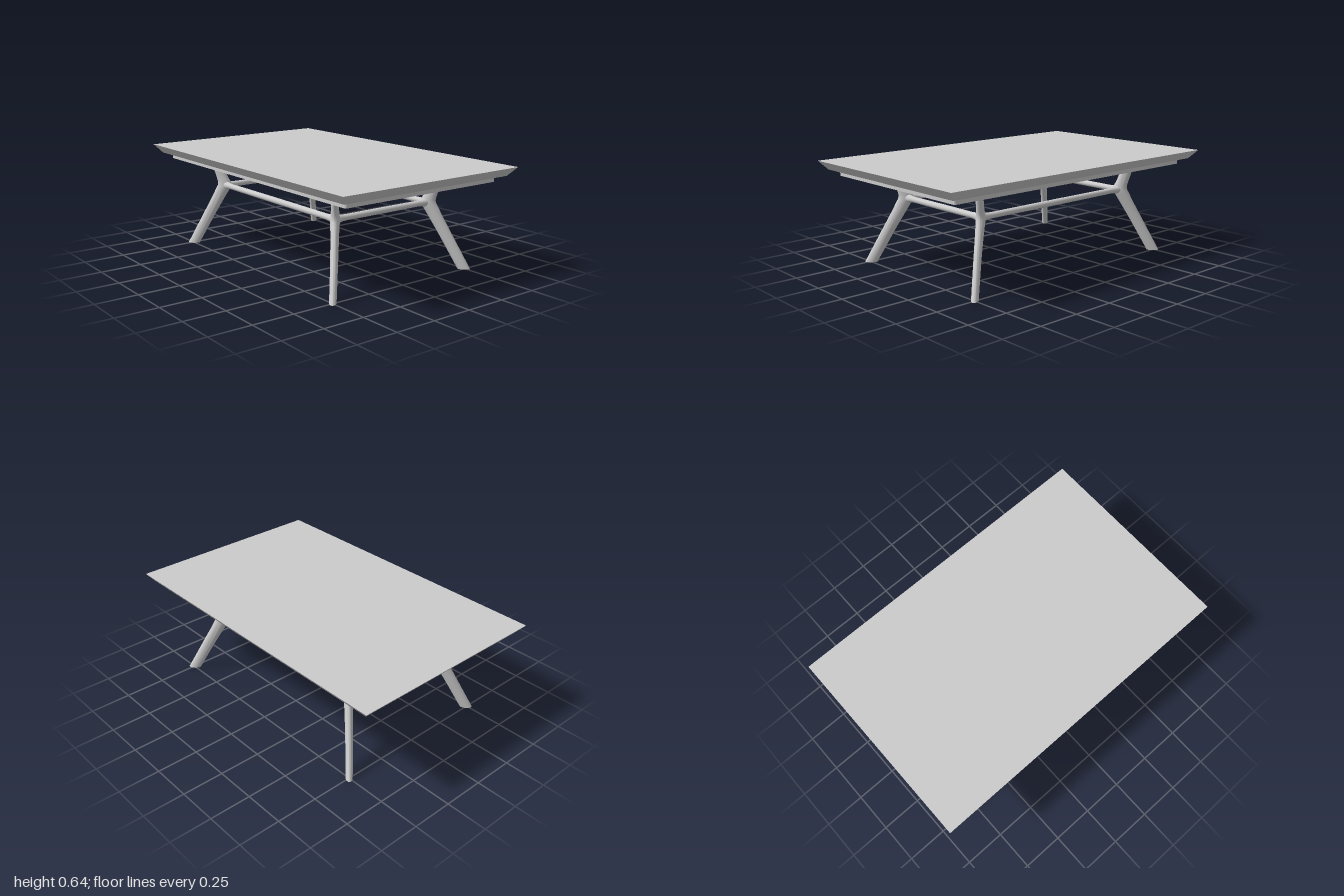
import * as THREE from 'three';
import { toCreasedNormals } from 'three/addons/utils/BufferGeometryUtils.js';

const material = new THREE.MeshStandardMaterial({ color: 0xcccccc });

function mesh(name, geometry) {
  const m = new THREE.Mesh(geometry, material);
  m.name = name;
  return m;
}

// Closed, capped skin through rings stacked upwards (counter-clockwise from above)
function loft(rings, crease) {
  const n = rings[0].length;
  const pos = [], index = [];
  rings.flat().forEach((p) => pos.push(p.x, p.y, p.z));
  for (let i = 0; i < rings.length - 1; i++) {
    for (let j = 0; j < n; j++) {
      const k = (j + 1) % n;
      const a = i * n + j, b = i * n + k, c = a + n, d = b + n;
      index.push(a, b, c, b, d, c);
    }
  }
  const last = (rings.length - 1) * n;
  for (let j = 1; j < n - 1; j++) {
    index.push(0, j + 1, j, last, last + j, last + j + 1);
  }
  const g = new THREE.BufferGeometry();
  g.setAttribute('position', new THREE.Float32BufferAttribute(pos, 3));
  g.setIndex(index);
  return toCreasedNormals(g, crease);
}

// Horizontal rectangle with optionally rounded corners
function rectRing(hx, hz, y, r = 0, steps = 0) {
  const ring = [];
  const corners = [[1, -1], [-1, -1], [-1, 1], [1, 1]];
  corners.forEach(([sx, sz], q) => {
    for (let s = 0; s <= steps; s++) {
      const t = (q + (steps ? s / steps : 0)) * Math.PI / 2;
      ring.push(new THREE.Vector3(
        sx * (hx - r) + r * Math.cos(t), y, sz * (hz - r) - r * Math.sin(t)));
    }
  });
  return ring;
}

// Leg sections: y, centre x, centre z, long half-axis, short half-axis
const legSections = [
  [0, 0.746, 0.496, 0.038, 0.02],
  [0.2, 0.663, 0.422, 0.04, 0.0215],
  [0.33, 0.606, 0.374, 0.043, 0.024],
  [0.37, 0.589, 0.36, 0.046, 0.026],
  [0.392, 0.579, 0.351, 0.047, 0.027],
  [0.41, 0.577, 0.349, 0.045, 0.026],
  [0.43, 0.583, 0.354, 0.041, 0.024],
  [0.46, 0.592, 0.362, 0.038, 0.022],
  [0.55, 0.614, 0.384, 0.036, 0.02],
];

function leg(sx, sz) {
  const dx = 0.75, dz = 0.66; // the oval points outwards along the splay
  const sides = 24;
  const rings = legSections.map(([y, cx, cz, a, b]) =>
    Array.from({ length: sides }, (_, j) => {
      const t = sx * sz * j / sides * Math.PI * 2;
      const u = a * Math.cos(t), v = b * Math.sin(t);
      return new THREE.Vector3(
        sx * (cx + u * dx + v * dz), y, sz * (cz + u * dz - v * dx));
    }));
  return mesh('leg', loft(rings, 0.9));
}

// Round rail, slightly fuller in the middle, flaring into the legs
function rail(half) {
  const side = [[half, 0.026], [half - 0.025, 0.023], [half - 0.045, 0.019],
    [half - 0.08, 0.0175], [half * 0.5, 0.018]];
  const profile = [
    ...side.map(([y, r]) => new THREE.Vector2(r, -y)),
    new THREE.Vector2(0.0185, 0),
    ...side.slice().reverse().map(([y, r]) => new THREE.Vector2(r, y)),
  ];
  return mesh('rail', new THREE.LatheGeometry(profile, 24));
}

export function createModel() {
  const table = new THREE.Group();
  table.name = 'table';

  // Top with undercut bevelled edge
  table.add(mesh('tabletop', loft(
    [rectRing(0.955, 0.592, 0.585), rectRing(1, 0.635, 0.638)], 0.3)));

  // Recessed slab under the top
  table.add(mesh('apron', loft(
    [rectRing(0.91, 0.547, 0.55, 0.012, 5), rectRing(0.91, 0.547, 0.586, 0.012, 5)], 0.6)));

  // Four splayed legs
  const base = new THREE.Group();
  base.name = 'base';
  for (const sx of [-1, 1]) for (const sz of [-1, 1]) base.add(leg(sx, sz));

  // Rails joining the legs at the elbows
  for (const s of [-1, 1]) {
    const long = rail(0.57);
    long.name = 'longRail';
    long.rotation.z = Math.PI / 2;
    long.position.set(0, 0.398, s * 0.345);
    const short = rail(0.34);
    short.name = 'shortRail';
    short.rotation.x = Math.PI / 2;
    short.position.set(s * 0.572, 0.398, 0);
    base.add(long, short);
  }
  table.add(base);
  return table;
}
